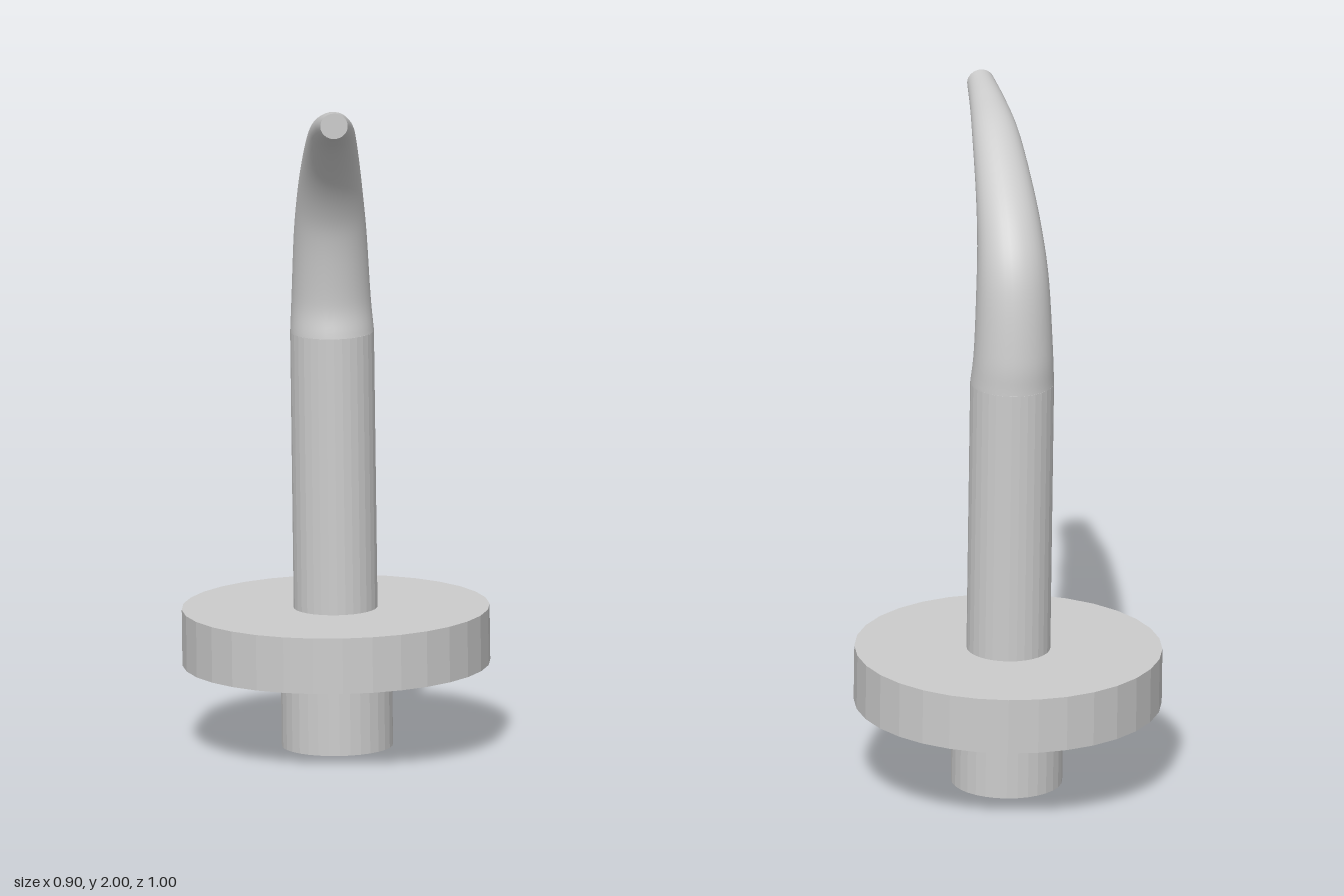
import * as THREE from 'three';

const SIDES = 32;
const smooth = new THREE.MeshStandardMaterial({ color: 0xcccccc });
const faceted = new THREE.MeshStandardMaterial({ color: 0xcccccc, flatShading: true });

function cylinder(name, radius, y0, y1) {
  const mesh = new THREE.Mesh(new THREE.CylinderGeometry(radius, radius, y1 - y0, SIDES), faceted);
  mesh.name = name;
  mesh.position.set(0, (y0 + y1) / 2, -0.05);
  return mesh;
}

// Tapered horn: elliptical rings swept along a curve that bends forward
function hornGeometry(rings) {
  // z, y, forward lean in degrees, half width, half depth
  const stations = [
    [-0.05, 1.235, 0, 0.122, 0.121],
    [-0.055, 1.34, 4, 0.115, 0.112],
    [-0.026, 1.53, 20, 0.106, 0.106],
    [0.03, 1.655, 33, 0.096, 0.09],
    [0.13, 1.772, 46, 0.084, 0.07],
    [0.27, 1.883, 62, 0.069, 0.056],
    [0.39, 1.933, 73, 0.054, 0.045],
    [0.511, 1.962, 90, 0.04, 0.038],
  ];
  const path = new THREE.CatmullRomCurve3(
    stations.map(([z, y, a]) => new THREE.Vector3(z, y, THREE.MathUtils.degToRad(a))), false, 'catmullrom');
  const size = new THREE.CatmullRomCurve3(
    stations.map((s) => new THREE.Vector3(s[3], s[4], 0)), false, 'catmullrom');

  const pos = [], index = [];
  for (let i = 0; i <= rings; i++) {
    const c = path.getPoint(i / rings), r = size.getPoint(i / rings);
    const drift = -0.01 * i / rings;
    for (let j = 0; j < SIDES; j++) {
      const a = (j / SIDES) * Math.PI * 2;
      const u = r.x * Math.sin(a), v = r.y * Math.cos(a);
      pos.push(drift + u, c.y - v * Math.sin(c.z), c.x + v * Math.cos(c.z));
      if (i === rings) continue;
      const k = (j + 1) % SIDES, p = i * SIDES, q = p + SIDES;
      index.push(p + j, p + k, q + j, p + k, q + k, q + j);
    }
  }
  const geo = new THREE.BufferGeometry();
  geo.setAttribute('position', new THREE.Float32BufferAttribute(pos, 3));
  geo.setIndex(index);
  geo.computeVertexNormals();
  return geo;
}

export function createModel() {
  const model = new THREE.Group();
  model.name = 'hornedPost';

  // The whole piece leans very slightly
  const body = new THREE.Group();
  body.name = 'body';
  body.rotation.set(-0.005, 0, 0.0125);
  body.position.set(0.004, 0.002, 0);
  model.add(body);

  body.add(cylinder('bottomPeg', 0.162, 0.005, 0.255));
  body.add(cylinder('collarDisc', 0.448, 0.25, 0.415));
  body.add(cylinder('shaft', 0.122, 0.41, 1.235));

  const horn = new THREE.Mesh(hornGeometry(56), smooth);
  horn.name = 'curvedHorn';
  body.add(horn);

  // Flat cut at the tip
  const tip = new THREE.Mesh(new THREE.CircleGeometry(1, SIDES), smooth);
  tip.name = 'hornTip';
  tip.scale.set(0.04, 0.038, 1);
  tip.position.set(-0.01, 1.962, 0.511);
  body.add(tip);

  return model;
}
